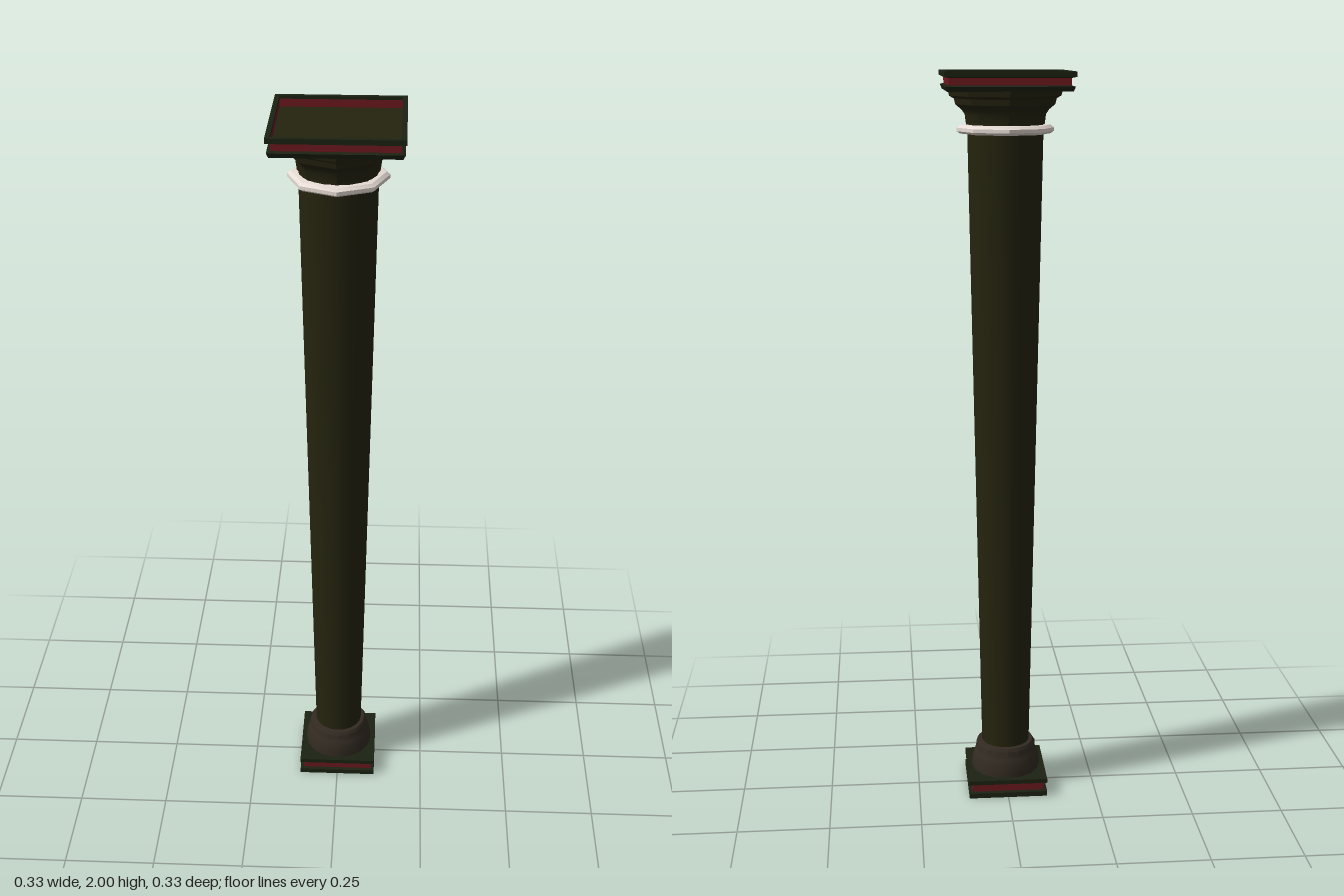
import * as THREE from 'three';
import { toCreasedNormals } from 'three/addons/utils/BufferGeometryUtils.js';

export function createModel() {
  const group = new THREE.Group();
  group.name = 'column';
  const paint = (name, color) => {
    const m = new THREE.MeshStandardMaterial({ color });
    m.name = name;
    return m;
  };
  const olive = paint('dark olive', 0x25240f);
  const trim = paint('dark green trim', 0x1c2212);
  const red = paint('deep red', 0x701a20);
  const brown = paint('dark brown', 0x332b22);
  const ivory = paint('ivory', 0xe8ddd6);

  // Profile [radius, y] spun around the axis; profiles run upwards on the outside
  function spin(name, profile, sides, material, crease = 0.6, turn = 0) {
    const pts = profile.map(([r, y]) => new THREE.Vector2(r, y));
    const geo = toCreasedNormals(new THREE.LatheGeometry(pts, sides), crease);
    geo.rotateY(turn);
    const mesh = new THREE.Mesh(geo, material);
    mesh.name = name;
    group.add(mesh);
  }
  // Square moulding: profile given as half widths
  const square = (name, profile, material) =>
    spin(name, profile.map(([h, y]) => [h * Math.SQRT2, y]), 4, material, 0.01, Math.PI / 4);

  // Base slab: two flanges, a recessed red band and a hollow underside
  square('baseLowerFlange', [[0.098, 0.008], [0.098, 0], [0.11, 0], [0.11, 0.014], [0.101, 0.016]], trim);
  square('baseBand', [[0.101, 0.016], [0.101, 0.038]], red);
  square('baseUpperFlange', [[0.101, 0.038], [0.11, 0.04], [0.11, 0.052], [0, 0.052]], trim);
  square('baseInnerWall', [[0.098, 0.03], [0.098, 0.008]], red);
  square('baseUnderside', [[0, 0.03], [0.098, 0.03]], trim);

  // Round foot of the shaft
  spin('foot', [[0.097, 0.052], [0.097, 0.062], [0.094, 0.085], [0.089, 0.1],
    [0.085, 0.106], [0.084, 0.124], [0.078, 0.133], [0.06, 0.134]], 16, brown);

  // Shaft, widening upwards
  spin('shaft', [[0.067, 0.13], [0.1, 1.87]], 20, olive);

  // Eight-sided neck ring
  spin('neckRing', [[0.095, 1.839], [0.118, 1.841], [0.127, 1.847], [0.127, 1.856],
    [0.118, 1.863], [0.095, 1.865]], 8, ivory, 0.5);

  // Flared eight-sided capital
  spin('capital', [[0.102, 1.86], [0.106, 1.89], [0.114, 1.902], [0.13, 1.915],
    [0.134, 1.93], [0.146, 1.937], [0.15, 1.953]], 8, olive, 0.5);

  // Top slab: two flanges, a recessed red band and a sunken top panel
  square('topLowerFlange', [[0, 1.951], [0.158, 1.951], [0.163, 1.963], [0.154, 1.966]], trim);
  square('topBand', [[0.154, 1.966], [0.154, 1.984]], red);
  square('topUpperFlange', [[0.154, 1.984], [0.166, 1.987], [0.166, 2], [0.154, 2], [0.154, 1.992]], trim);
  square('topInnerWall', [[0.154, 1.992], [0.154, 1.972]], red);
  square('topPanel', [[0.154, 1.972], [0, 1.972]], olive);

  return group;
}
